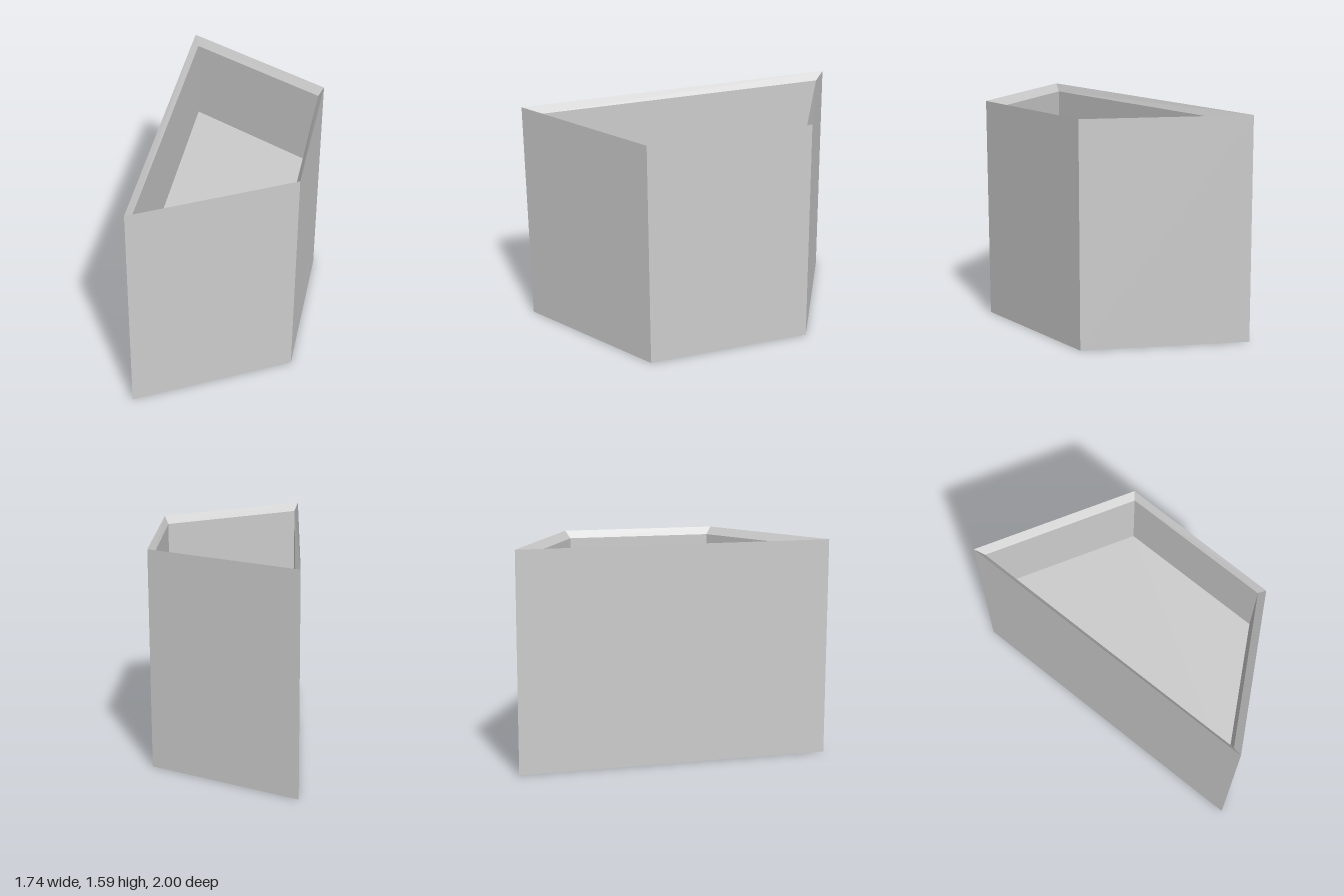
import * as THREE from 'three';

const HEIGHT = 1.585;
const BEVEL = 0.055;
const FLOOR_LOW = 0.64, FLOOR_HIGH = HEIGHT - FLOOR_LOW;

// plan corners [x, z], counter-clockwise seen from above
const OUTER = [[-0.87, 1], [0.295, 1], [0.87, 0], [0.24, -1]];
const INNER = [[-0.81, 0.95], [0.29, 0.95], [0.825, 0.01], [0.237, -0.925]];

const ring = (plan, y) => plan.map(([x, z]) => [x, y, z]);

// band of quads between two successive rings
function band(a, b) {
  const out = [];
  a.forEach((p, i) => {
    const j = (i + 1) % a.length;
    out.push(p, a[j], b[j], p, b[j], b[i]);
  });
  return out;
}

// four-cornered flat face, turned up or down
function cap([a, b, c, d], up) {
  return up ? [a, b, c, a, c, d] : [a, c, b, a, d, c];
}

export function createModel() {
  const group = new THREE.Group();
  group.name = 'angularPlanter';
  const material = new THREE.MeshStandardMaterial({ color: 0xcccccc, flatShading: true });

  const add = (name, points) => {
    const geometry = new THREE.BufferGeometry();
    geometry.setAttribute('position', new THREE.Float32BufferAttribute(points.flat(), 3));
    geometry.computeVertexNormals();
    const mesh = new THREE.Mesh(geometry, material);
    mesh.name = name;
    group.add(mesh);
  };

  // cross-section rings, from the underside recess round to the top recess
  const lowFloor = ring(INNER, FLOOR_LOW);
  const lowInner = ring(INNER, BEVEL);
  const lowOuter = ring(OUTER, 0);
  const topOuter = ring(OUTER, HEIGHT);
  const topInner = ring(INNER, HEIGHT - BEVEL);
  const topFloor = ring(INNER, FLOOR_HIGH);

  // shell
  add('outerWalls', band(lowOuter, topOuter));

  // sloping rims
  add('topRim', band(topOuter, topInner));
  add('bottomRim', band(lowInner, lowOuter));

  // recess walls
  add('topRecessWalls', band(topInner, topFloor));
  add('bottomRecessWalls', band(lowFloor, lowInner));

  // dividing floor, seen from above and below
  add('floorTop', cap(topFloor, true));
  add('floorUnderside', cap(lowFloor, false));

  return group;
}
